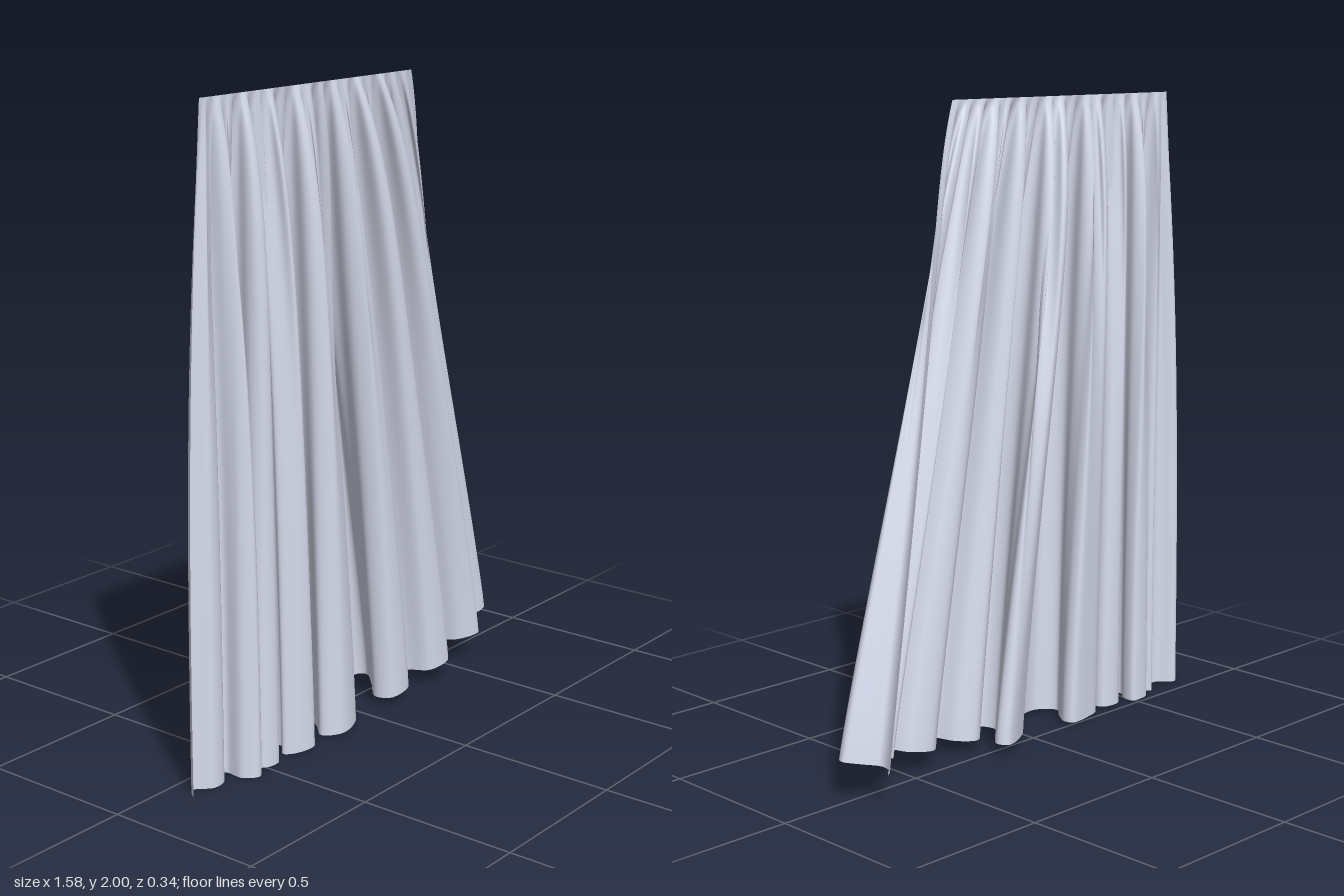
import * as THREE from 'three';

// Hem line seen from above, as (x, z) points: S-shaped folds, then a curled free edge
const HEM = [
  -0.79, 0.10, -0.75, 0.06, -0.70, 0.10, -0.65, 0.095, -0.62, 0.05, -0.60, 0.06,
  -0.60, 0.12, -0.56, 0.155, -0.53, 0.13, -0.56, 0.08, -0.57, 0.03, -0.53, 0.015,
  -0.49, 0.02, -0.49, 0.06, -0.52, 0.10, -0.50, 0.13, -0.45, 0.135, -0.43, 0.10,
  -0.46, 0.06, -0.43, 0.035, -0.37, 0.04, -0.36, 0.07, -0.40, 0.11, -0.37, 0.14,
  -0.30, 0.15, -0.28, 0.12, -0.32, 0.07, -0.32, 0.03, -0.25, 0.0, -0.17, -0.01,
  -0.16, 0.02, -0.19, 0.07, -0.23, 0.12, -0.18, 0.165, -0.09, 0.145, -0.02, 0.07,
  0.05, 0.0, 0.17, -0.06, 0.19, -0.03, 0.14, 0.03, 0.08, 0.09, 0.10, 0.14,
  0.18, 0.145, 0.21, 0.12, 0.18, 0.06, 0.22, 0.03, 0.28, 0.06, 0.32, 0.13,
  0.41, 0.14, 0.43, 0.11, 0.38, 0.05, 0.42, 0.01, 0.50, 0.03, 0.54, 0.09,
  0.61, 0.12, 0.63, 0.09, 0.58, 0.03, 0.60, -0.01, 0.68, 0.03, 0.76, 0.04,
  0.785, 0.0, 0.74, -0.04, 0.70, -0.07, 0.71, -0.12, 0.76, -0.17,
];
const COLS = 640, ROWS = 64;
const TOP_Z = 0.085, GATHERS = 17;
const { lerp, smoothstep } = THREE.MathUtils;

function hemCurve() {
  const pts = [];
  for (let i = 0; i < HEM.length; i += 2) pts.push(new THREE.Vector3(HEM[i], 0, HEM[i + 1]));
  const curve = new THREE.CatmullRomCurve3(pts, false, 'centripetal');
  curve.arcLengthDivisions = 1500;
  return curve;
}

// Eased growth from the gathered top (d = 0) to the hem (d = 1)
const grow = (d, power) => 1 - Math.pow(1 - d, power);
// Bump that peaks at d = size and fades below it
const bump = (d, size) => (d / size) * Math.exp(1 - d / size);

function drapeGeometry() {
  const geo = new THREE.PlaneGeometry(1, 1, COLS, ROWS);
  const pos = geo.attributes.position;
  const hem = hemCurve().getSpacedPoints(COLS);
  for (let r = 0; r <= ROWS; r++) {
    const d = Math.pow(r / ROWS, 1.4); // rows are closer together near the top
    for (let c = 0; c <= COLS; c++) {
      const u = c / COLS, h = hem[c];
      const hemY = 0.125 * Math.pow(Math.max(0, (h.x + 0.79) / 1.57), 2.6);
      // the left edge flares early, the rest runs almost straight to the hem
      const fx = grow(d, 1.1 + 1.7 * Math.exp(-9 * u));
      // folds deepen quickly, while the rear folds and free right edge swing back slowly
      const slow = Math.max(smoothstep(u, 0.78, 0.97), smoothstep(-h.z, 0, 0.08));
      const fz = grow(d, lerp(5, 1.25, slow));
      // looping gathers under the top edge that fade into the large folds
      const angle = u * GATHERS * Math.PI * 2;
      const inner = smoothstep(u, 0, 0.05) * (1 - smoothstep(u, 0.93, 1));
      const gather = bump(d, 0.16) * inner;
      pos.setXYZ(
        r * (COLS + 1) + c,
        lerp(-0.70 + 0.95 * u, h.x, fx) + 0.02 * bump(d, 0.15) * Math.pow(u, 4)
          - 0.007 * gather * Math.sin(2 * angle),
        lerp(2, hemY, d),
        TOP_Z + (h.z - TOP_Z) * fz + 0.02 * gather * Math.sin(angle)
      );
    }
  }
  geo.computeVertexNormals();
  return geo;
}

export function createModel() {
  const group = new THREE.Group();
  group.name = 'curtain';
  const cloth = new THREE.Mesh(
    drapeGeometry(),
    new THREE.MeshStandardMaterial({ color: 0xd8dcee, side: THREE.DoubleSide })
  );
  cloth.name = 'pleatedCloth';
  group.add(cloth);
  return group;
}
